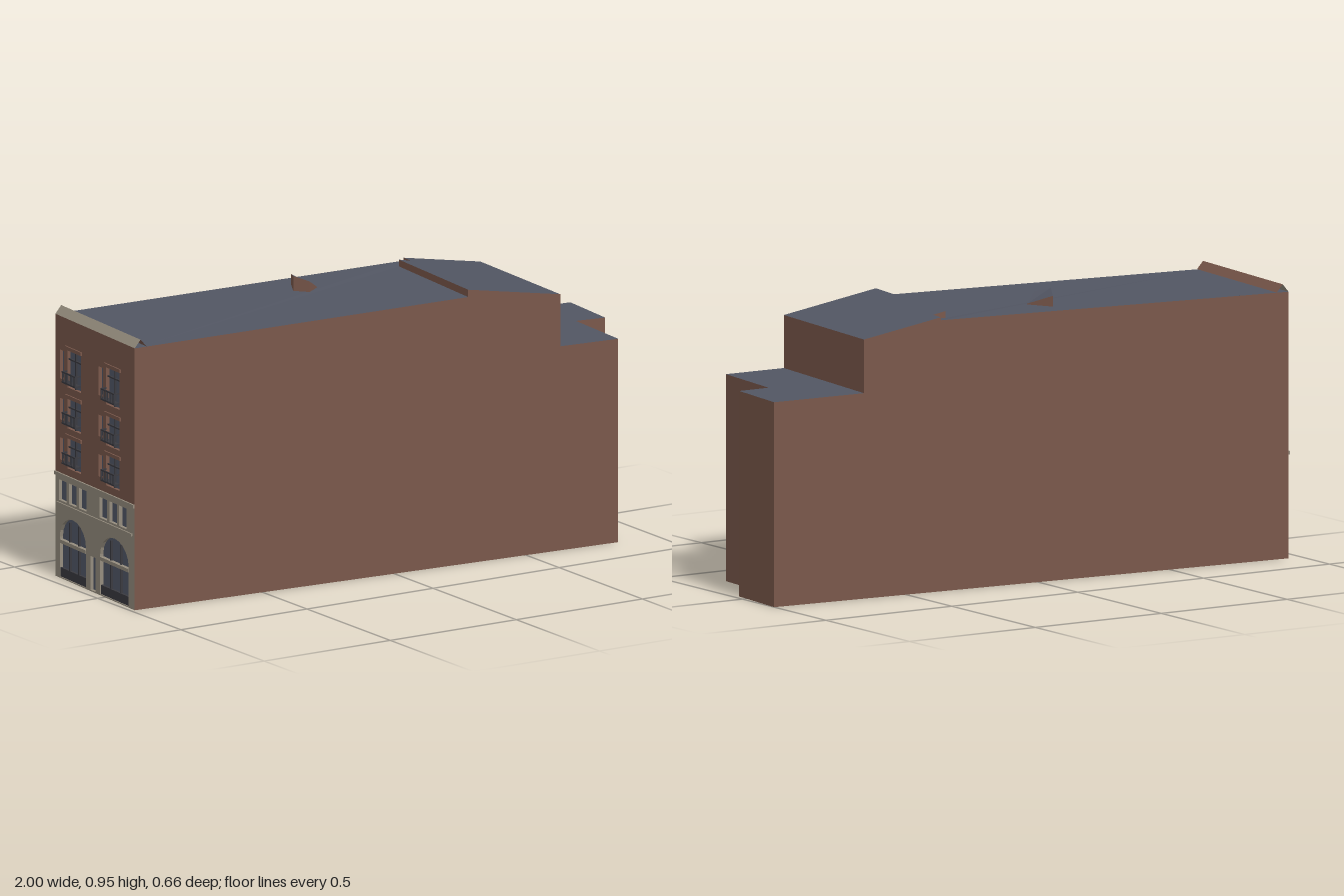
import * as THREE from 'three';

const mat = (name, color) => {
  const m = new THREE.MeshStandardMaterial({ color, side: THREE.DoubleSide });
  m.name = name;
  return m;
};

// ground corners [x, z], running anticlockwise seen from above
const A = [-0.95, -0.33], B = [-0.985, 0.2], C = [0.85, 0.325];
const D = [0.87, 0.04], E = [0.98, 0.05], F = [1.0, -0.19];

export function createModel() {
  const brick = mat('brick', 0x7a584b);
  const slate = mat('slate', 0x525663);
  const stone = mat('stone', 0x958d7e);
  const glass = mat('glass', 0x525868);
  const iron = mat('dark iron', 0x3a3a40);

  const root = new THREE.Group();
  root.name = 'townhouse';

  const add = (parent, name, geo, material, x = 0, y = 0, z = 0) => {
    const m = new THREE.Mesh(geo, material);
    m.name = name;
    m.position.set(x, y, z);
    parent.add(m);
    return m;
  };

  // group whose x runs from a to b along the ground and whose z points outwards
  const frame = (name, a, b) => {
    const g = new THREE.Group();
    g.name = name;
    g.position.set(a[0], 0, a[1]);
    g.rotation.y = -Math.atan2(b[1] - a[1], b[0] - a[0]);
    root.add(g);
    return g;
  };
  const dist = (a, b) => Math.hypot(b[0] - a[0], b[1] - a[1]);
  const shape = pts => new THREE.Shape(pts.map(p => new THREE.Vector2(p[0], p[1])));

  // long wall with its skyline given as [x, y]
  const wall = (name, a, b, skyline) => {
    const L = dist(a, b);
    const pts = skyline.map(([x, y]) => [L * (x - a[0]) / (b[0] - a[0]), y]);
    add(frame(name, a, b), name, new THREE.ShapeGeometry(shape([[0, 0], ...pts, [L, 0]])), brick);
  };

  // flat-sided face from 3D corners, triangulated in plan or as a fan
  const face = (parent, name, pts, material, plan = false) => {
    const geo = new THREE.BufferGeometry();
    const tris = plan
      ? THREE.ShapeUtils.triangulateShape(pts.map(p => new THREE.Vector2(p[0], -p[2])), [])
      : pts.slice(2).map((_, i) => [0, i + 1, i + 2]);
    geo.setAttribute('position', new THREE.Float32BufferAttribute(tris.flat().flatMap(i => pts[i]), 3));
    geo.computeVertexNormals();
    return add(parent, name, geo, material);
  };

  // outer walls
  wall('frontWall', B, C, [[-0.985, 0.895], [0.28, 0.91], [0.28, 0.935], [0.63, 0.875], [0.63, 0.697], [0.85, 0.695]]);
  wall('backWall', F, A, [[1, 0.688], [0.66, 0.69], [0.66, 0.87], [0.368, 0.92], [0.368, 0.91], [-0.95, 0.895]]);
  [[C, D, 0.695, 0.692], [D, E, 0.692, 0.69], [E, F, 0.69, 0.688]].forEach(([a, b, ya, yb]) =>
    face(root, 'rearWall', [[a[0], 0, a[1]], [b[0], 0, b[1]], [b[0], yb, b[1]], [a[0], ya, a[1]]], brick));
  face(root, 'upperRearWall', [[0.63, 0.697, 0.31], [0.66, 0.69, -0.215], [0.66, 0.87, -0.215], [0.63, 0.875, 0.31]], brick);

  // roofs, with the small riser between the main and raised ones
  const low = [[0.28, 0.91, 0.287], [0.32, 0.907, -0.19], [0.365, 0.908, -0.185], [0.368, 0.91, -0.235]];
  const high = [0.935, 0.93, 0.921, 0.92].map((y, i) => [low[i][0], y, low[i][2]]);
  face(root, 'mainRoof', [[-0.985, 0.895, 0.2], ...low, [-0.95, 0.895, -0.33]], slate, true);
  face(root, 'raisedRoof', [[0.63, 0.875, 0.31], [0.66, 0.87, -0.215], ...high.slice().reverse()], slate, true);
  face(root, 'lowerRoof', [[0.63, 0.697, 0.31], [C[0], 0.695, C[1]], [D[0], 0.692, D[1]], [E[0], 0.69, E[1]],
    [F[0], 0.688, F[1]], [0.66, 0.69, -0.215]], slate, true);
  for (let i = 0; i < 3; i++) face(root, 'roofRiser', [low[i + 1], low[i], high[i], high[i + 1]], brick);

  // roof hatch with a sloping lid
  const lid = [[-0.145, 0.955, -0.12], [-0.11, 0.941, -0.075], [-0.058, 0.908, -0.11], [-0.107, 0.941, -0.19]];
  face(root, 'hatchLid', lid, slate);
  lid.forEach((p, i) => {
    const q = lid[(i + 1) % 4];
    face(root, 'hatchSide', [[p[0], 0.9, p[2]], [q[0], 0.9, q[2]], q, p], brick);
  });

  // street facade: brick above, stone below, both pierced by openings
  const street = frame('streetFacade', A, B);
  const W = dist(A, B), BAND = 0.36;
  const rect = (x0, x1, y0, y1) => [[x0, y0], [x1, y0], [x1, y1], [x0, y1]];
  const pierced = (name, y0, y1, holes, material) => {
    const s = shape(rect(0, W, y0, y1));
    holes.forEach(h => s.holes.push(new THREE.Path(h.map(p => new THREE.Vector2(p[0], p[1])))));
    add(street, name, new THREE.ShapeGeometry(s), material);
  };
  const box = (name, material, x0, x1, y0, y1, z0, z1) =>
    add(street, name, new THREE.BoxGeometry(x1 - x0, y1 - y0, z1 - z0), material,
      (x0 + x1) / 2, (y0 + y1) / 2, (z0 + z1) / 2);

  // the reveal joins an opening's outline to the recessed pane
  const DEPTH = 0.012;
  const opening = (outline, reveal) => {
    add(street, 'windowPane', new THREE.ShapeGeometry(shape(outline)), glass, 0, 0, -DEPTH);
    outline.forEach((p, i) => {
      const q = outline[(i + 1) % outline.length];
      face(street, 'windowReveal', [[...p, 0], [...q, 0], [...q, -DEPTH], [...p, -DEPTH]], reveal);
    });
  };

  // upper floors: two bays of windows with balconies and a narrow side light
  const upper = [];
  for (const [y0, y1] of [[0.385, 0.49], [0.522, 0.625], [0.662, 0.79]]) {
    for (const x of [0.08, 0.34]) {
      const w = 0.09;
      upper.push(rect(x, x + w, y0, y1), rect(x - 0.05, x - 0.022, y0 + 0.02, y1 - 0.01));
      box('windowMullion', iron, x + w / 2 - 0.003, x + w / 2 + 0.003, y0, y1, -DEPTH, -0.005);
      box('windowTransom', iron, x, x + w, y1 - 0.035, y1 - 0.03, -DEPTH, -0.005);
      box('windowLintel', brick, x - 0.008, x + w + 0.008, y1, y1 + 0.012, 0, 0.005);
      const b = y0 + 0.018, t = y0 + 0.058;
      box('balconyFloor', iron, x, x + w, b, b + 0.006, 0, 0.022);
      box('balconyRail', iron, x, x + w, t - 0.005, t, 0.018, 0.022);
      for (let i = 0; i <= 8; i++) {
        const px = x + 0.002 + i * (w - 0.004) / 8;
        box('balconyBar', iron, px - 0.0015, px + 0.0015, b, t, 0.018, 0.021);
      }
      for (const px of [x, x + w - 0.003]) box('balconySideRail', iron, px, px + 0.003, t - 0.005, t, 0, 0.02);
    }
  }
  pierced('upperFacade', BAND, 0.895, upper, brick);
  upper.forEach(h => opening(h, brick));

  // mezzanine lights, arched shopfronts and the central door
  const lower = [];
  for (const x of [0.025, 0.295])
    for (let i = 0; i < 3; i++) lower.push(rect(x + i * 0.066, x + i * 0.066 + 0.05, 0.265, 0.335));
  for (const [x0, x1] of [[0.03, 0.205], [0.3, 0.49]]) {
    const arch = [[x0, 0.004], [x1, 0.004]];
    for (let i = 0; i <= 10; i++) {
      const a = Math.PI * i / 10;
      arch.push([(x0 + x1) / 2 + Math.cos(a) * (x1 - x0) / 2, 0.14 + 0.075 * Math.sin(a)]);
    }
    lower.push(arch);
    box('shopTransom', stone, x0, x1, 0.12, 0.132, -DEPTH, 0.002);
    box('shopSill', iron, x0, x1, 0.004, 0.035, -DEPTH, -0.003);
    for (const f of [0.33, 0.67]) {
      const x = x0 + f * (x1 - x0);
      box('shopMullion', iron, x - 0.003, x + 0.003, 0.03, 0.2, -DEPTH, -0.004);
    }
  }
  lower.push(rect(0.235, 0.27, 0.004, 0.12));
  pierced('stoneBase', 0, BAND, lower, stone);
  lower.forEach(h => opening(h, stone));
  box('stoneBand', stone, 0, W, BAND - 0.012, BAND, 0, 0.006);
  box('mezzanineSill', stone, 0.015, W - 0.015, 0.25, 0.258, 0, 0.005);

  // ridged cornice along the top of the facade
  face(street, 'corniceFront', [[0, 0.895, 0], [W, 0.895, 0], [W, 0.922, -0.022], [0, 0.922, -0.022]], stone);
  face(street, 'corniceBack', [[W, 0.896, -0.045], [0, 0.896, -0.045], [0, 0.922, -0.022], [W, 0.922, -0.022]], brick);

  return root;
}
